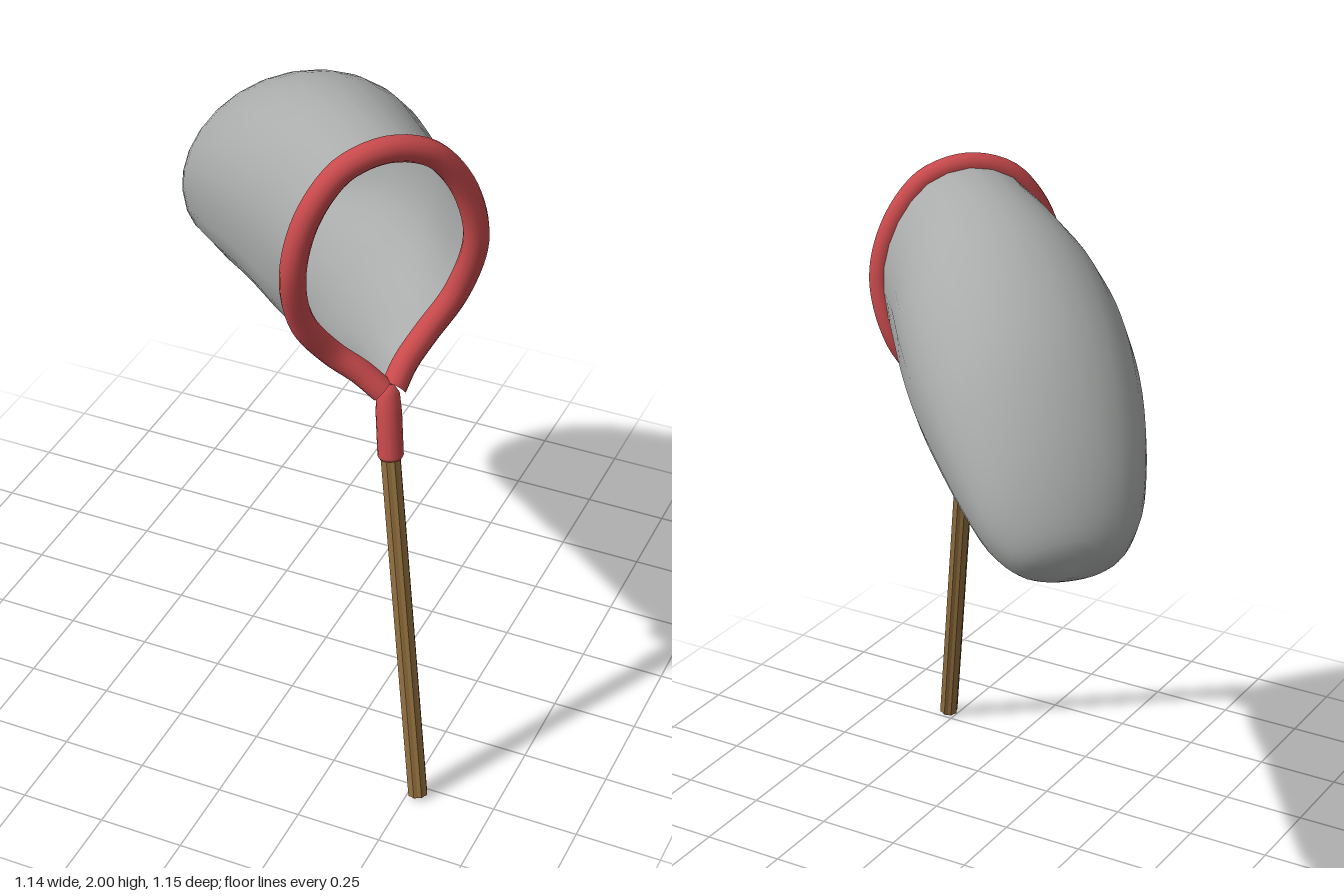
import * as THREE from 'three';

const V = (x, y, z) => new THREE.Vector3(x, y, z);
const fabric = new THREE.MeshStandardMaterial({ name: 'grey fabric', color: 0xa9acaa, side: THREE.DoubleSide });
const red = new THREE.MeshStandardMaterial({ name: 'red frame', color: 0xc94a4c });
const wood = new THREE.MeshStandardMaterial({ name: 'brown wood', color: 0x94703f });

// Local frame: x sideways, z towards the mouth of the net; the group is turned 45 degrees.
// Half of the teardrop hoop, from the top down to the junction.
const halfHoop = [
  [0, 1.963, 0.44], [0.075, 1.95, 0.44], [0.14, 1.915, 0.44], [0.222, 1.8, 0.44],
  [0.26, 1.64, 0.437], [0.222, 1.46, 0.405], [0.135, 1.34, 0.4], [0.065, 1.283, 0.432], [0.016, 1.235, 0.47],
].map((p) => V(...p));

// Bag stations: top z, top y, bottom z, bottom y, half width.
const stations = [
  [0.25, 1.97, 0.25, 1.275, 0.275], [0.0, 1.94, 0.03, 1.275, 0.305], [-0.2, 1.87, -0.13, 1.25, 0.312],
  [-0.4, 1.745, -0.3, 1.215, 0.295], [-0.56, 1.575, -0.45, 1.17, 0.258], [-0.665, 1.41, -0.55, 1.14, 0.21],
  [-0.71, 1.28, -0.625, 1.132, 0.135], [-0.695, 1.19, -0.685, 1.17, 0],
];

function bagGeometry() {
  const sides = 28, steps = 30, pos = [], index = [];
  const rim = new THREE.CatmullRomCurve3(halfHoop);
  const strands = [];
  for (let j = 0; j < sides; j++) {
    const a = (j / sides) * Math.PI * 2;
    const first = rim.getPointAt(a <= Math.PI ? a / Math.PI : 2 - a / Math.PI);
    if (a > Math.PI) first.x *= -1;
    if (j === sides / 2) first.x = 0;
    // the underside is flatter than the top
    const c = Math.cos(a), k = c > 0 ? c : -Math.pow(-c, 0.8);
    const t = (1 - k) / 2;
    const rest = stations.map(([tz, ty, bz, by, w]) =>
      V(w * Math.sin(a), ty + (by - ty) * t, tz + (bz - tz) * t));
    strands.push(new THREE.CatmullRomCurve3([first, ...rest]));
  }
  for (let i = 0; i <= steps; i++) {
    for (let j = 0; j < sides; j++) {
      pos.push(...strands[j].getPoint(i / steps).toArray());
      if (i === steps) continue;
      const p = i * sides + j, q = i * sides + (j + 1) % sides;
      index.push(p, q, p + sides, q, q + sides, p + sides);
    }
  }
  const g = new THREE.BufferGeometry();
  g.setAttribute('position', new THREE.Float32BufferAttribute(pos, 3));
  g.setIndex(index);
  g.computeVertexNormals();
  return g;
}

// Places a geometry built along y so that it runs from one point to another.
function between(name, geometry, material, from, to) {
  const mesh = new THREE.Mesh(geometry, material);
  mesh.name = name;
  mesh.position.copy(from).add(to).multiplyScalar(0.5);
  mesh.quaternion.setFromUnitVectors(V(0, 1, 0), to.clone().sub(from).normalize());
  return mesh;
}

export function createModel() {
  const net = new THREE.Group();
  net.name = 'handNet';

  const bag = new THREE.Mesh(bagGeometry(), fabric);
  bag.name = 'netBag';

  // Hoop: the half outline mirrored into one loop
  const mirrored = halfHoop.slice(1).map((p) => V(-p.x, p.y, p.z));
  const loop = new THREE.CatmullRomCurve3([...halfHoop].reverse().concat(mirrored));
  const hoop = new THREE.Mesh(new THREE.TubeGeometry(loop, 72, 0.036, 12), red);
  hoop.name = 'hoop';

  // Sleeve that holds the hoop ends and the handle
  const profile = [[0, -0.105], [0.03, -0.105], [0.036, -0.095], [0.036, 0.03], [0.032, 0.085], [0.02, 0.105], [0, 0.11]];
  const sleeve = between('sleeve',
    new THREE.LatheGeometry(profile.map(([r, y]) => new THREE.Vector2(r, y)), 16),
    red, V(-0.01, 1.04, 0.522), V(0, 1.245, 0.467));

  // Fluted handle: every other edge is pulled inwards
  const start = V(-0.004, 0.007, 0.753), end = V(-0.011, 1.1, 0.51);
  const rod = new THREE.CylinderGeometry(0.029, 0.029, start.distanceTo(end), 16);
  const rp = rod.attributes.position;
  for (let i = 0; i < rp.count; i++) {
    const x = rp.getX(i), z = rp.getZ(i);
    const n = Math.round(Math.atan2(x, z) / (Math.PI / 8));
    if (n % 2 !== 0) rp.setXYZ(i, x * 0.86, rp.getY(i), z * 0.86);
  }
  const flatRod = rod.toNonIndexed();
  flatRod.computeVertexNormals();
  const handle = between('handle', flatRod, wood, start, end);

  net.add(bag, hoop, sleeve, handle);
  net.rotation.y = Math.PI / 4;
  const model = new THREE.Group();
  model.add(net);
  return model;
}
